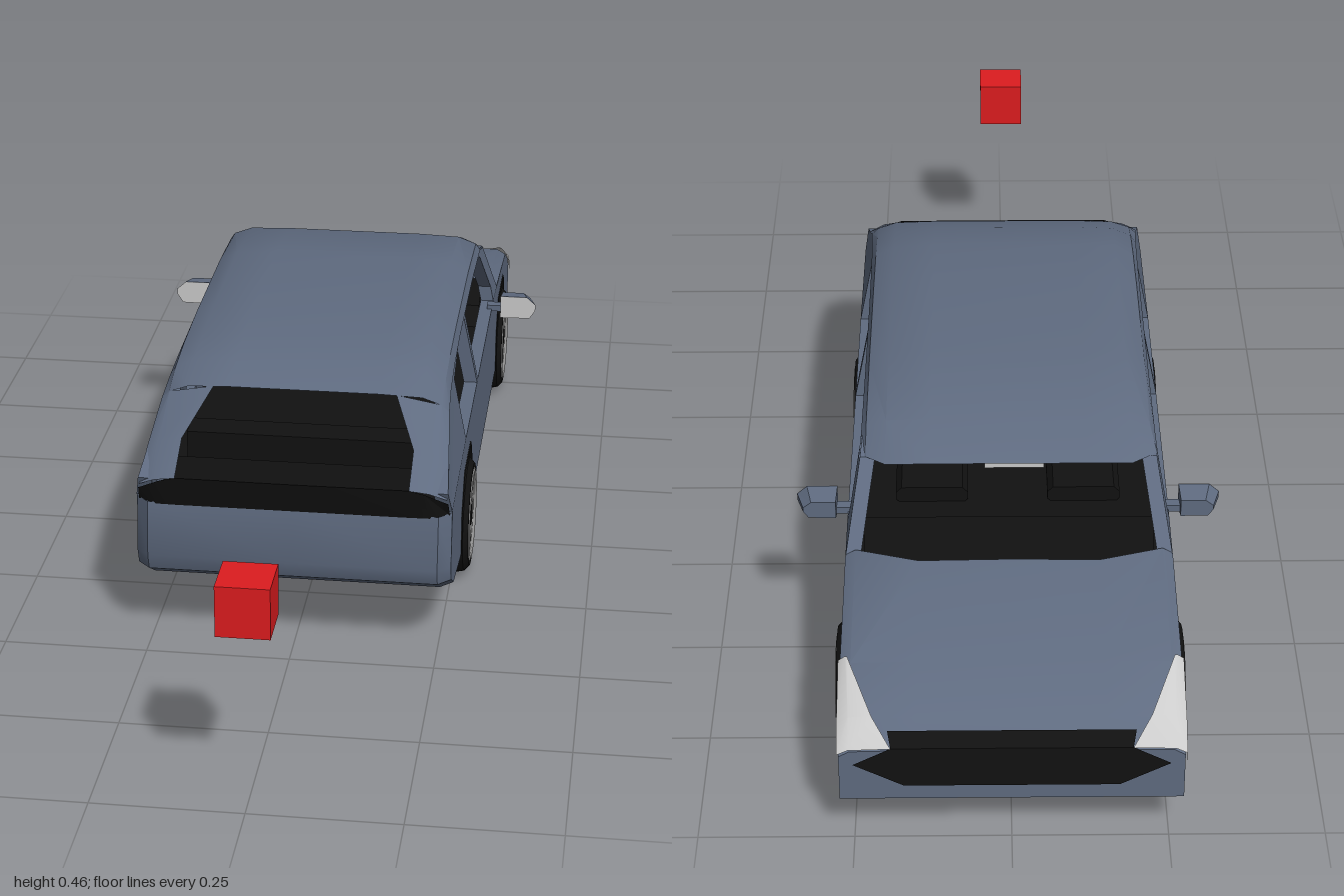
import * as THREE from 'three';
import { toCreasedNormals } from 'three/addons/utils/BufferGeometryUtils.js';

const mat = (color) => new THREE.MeshStandardMaterial({ color, side: THREE.DoubleSide });
const paint = mat(0x5f6b80), black = mat(0x111111), grey = mat(0xcccccc), rimGrey = mat(0x8c8c8c), red = mat(0xdd1c1f);
const AXLES = [-0.74, 0.11];
const ARCH = [[-0.113, 0.08], [-0.113, 0.165], [-0.07, 0.225], [0.07, 0.225], [0.113, 0.165], [0.113, 0.08]];

const shapeOf = (pts) => new THREE.Shape(pts.map(([a, b]) => new THREE.Vector2(a, b)));

// Surface through rows of [x, y, z] points
function sheet(rows) {
  const n = rows[0].length, index = [];
  for (let r = 0; r < rows.length - 1; r++) {
    for (let c = 0; c < n - 1; c++) {
      const a = r * n + c, b = a + n;
      index.push(a, b, a + 1, b, b + 1, a + 1);
    }
  }
  const geo = new THREE.BufferGeometry();
  geo.setAttribute('position', new THREE.Float32BufferAttribute(rows.flat(2), 3));
  geo.setIndex(index);
  return toCreasedNormals(geo, 0.5);
}

// Rows run from the outer edge to x = 0 and are reflected to the other side
const fullSheet = (rows) => sheet(rows.map((row) =>
  [...row, ...row.slice(0, -1).reverse().map(([x, y, z]) => [-x, y, z])]));

// Side plate drawn in (z, y); its outer face lies at x and it leans in above the belt
function sidePlate(shape, x, depth, lean = 0) {
  const geo = new THREE.ExtrudeGeometry(shape, { depth, bevelEnabled: false });
  geo.rotateY(-Math.PI / 2).translate(x, 0, 0);
  const p = geo.attributes.position;
  for (let i = 0; i < p.count; i++) p.setX(i, p.getX(i) - Math.max(0, p.getY(i) - 0.28) * lean);
  geo.computeVertexNormals();
  return geo;
}

export function createModel() {
  const model = new THREE.Group();
  const add = (name, geo, material, parent = model) => {
    const m = new THREE.Mesh(geo, material);
    m.name = name;
    parent.add(m);
    return m;
  };
  const box = (name, w, h, d, x, y, z, material, parent) =>
    add(name, new THREE.BoxGeometry(w, h, d).translate(x, y, z), material, parent);
  const pair = (name, geo, material) => {
    add(name + 'Left', geo, material);
    add(name + 'Right', geo.clone().scale(-1, 1, 1), material);
  };

  // Lower sides with wheel arches
  const arches = AXLES.flatMap((c) => ARCH.map(([z, y]) => [c + z, y]));
  const lower = shapeOf([[-1, 0.08], ...arches, [0.225, 0.08], [0.38, 0.108], [0.433, 0.14], [0.444, 0.17],
    [0.433, 0.272], [-0.61, 0.272], [-0.877, 0.244], [-0.965, 0.201], [-1, 0.164]]);
  pair('lowerSide', sidePlate(lower, 0.272, 0.02), paint);

  // Upper sides with window openings
  const upper = shapeOf([[-0.615, 0.272], [-0.505, 0.4], [-0.45, 0.414], [-0.26, 0.42], [0, 0.42], [0.22, 0.407],
    [0.29, 0.39], [0.39, 0.34], [0.455, 0.312], [0.438, 0.272]]);
  upper.holes.push(
    shapeOf([[0.155, 0.28], [0.155, 0.395], [0.03, 0.412], [-0.09, 0.413], [-0.1, 0.28]]),
    shapeOf([[-0.118, 0.28], [-0.112, 0.412], [-0.4, 0.41], [-0.44, 0.402], [-0.515, 0.31], [-0.515, 0.28]]));
  pair('windowFrame', sidePlate(upper, 0.272, 0.025, 0.2), paint);

  // Roof: z, crown height, edge height
  const roof = [[-0.535, 0.405, 0.397], [-0.45, 0.44, 0.412], [-0.26, 0.461, 0.418], [0, 0.459, 0.418],
    [0.13, 0.453, 0.413], [0.22, 0.441, 0.405], [0.29, 0.417, 0.39]];
  add('roof', fullSheet(roof.map(([z, top, edge], i) => {
    const h = (t) => edge + (top - edge) * t;
    const ze = i === 0 ? -0.505 : z;
    return [[0.274 - (edge - 0.28) * 0.2, edge, ze], [0.239, h(0.45), ze], [0.205, h(0.9), z], [0.13, top, z], [0, top, z]];
  })), paint);

  // Rear pillars beside the back window
  pair('rearPillar', sheet([
    [[0.252, 0.39, 0.29], [0.238, 0.403, 0.29], [0.16, 0.417, 0.29]],
    [[0.261, 0.34, 0.39], [0.242, 0.351, 0.39], [0.2, 0.36, 0.39]],
    [[0.264, 0.3, 0.454], [0.235, 0.315, 0.466], [0.2, 0.32, 0.468]]]), paint);

  // Hood and nose
  const hood = [[-0.645, 0.287], [-0.877, 0.256], [-0.965, 0.213], [-1, 0.176]].map(([z, y], i) => {
    const back = i === 0 ? 0.035 : 0;
    return [[0.272, y - 0.012, z + back], [0.255, y - 0.002, z + back], [0.15, y, z], [0, y + 0.002, z]];
  });
  add('hood', fullSheet([...hood, [[0.272, 0.08, -1], [0.255, 0.08, -1], [0.15, 0.08, -1], [0, 0.08, -1]]]), paint);
  add('grille', fullSheet([[0.195, 0.203, -0.985], [0.19, 0.181, -1.002], [0.25, 0.15, -1.003], [0.17, 0.108, -1.003]]
    .map(([x, y, z]) => [[x, y, z], [0, y, z]])), black);
  pair('headlight', sheet([
    [[0.275, 0.25, -0.86], [0.275, 0.193, -0.965], [0.275, 0.155, -1.003]],
    [[0.275, 0.25, -0.865], [0.275, 0.205, -0.966], [0.275, 0.17, -1.003]],
    [[0.264, 0.26, -0.868], [0.257, 0.216, -0.967], [0.257, 0.179, -1.003]],
    [[0.26, 0.261, -0.87], [0.22, 0.218, -0.967], [0.19, 0.181, -1.003]]]), grey);

  // Tail, bumper and dark light band
  add('tail', fullSheet([[0.455, 0.268], [0.466, 0.17], [0.455, 0.14], [0.402, 0.108], [0.22, 0.08]]
    .map(([z, y]) => [[0.272, y, z - 0.022], [0.25, y, z], [0, y, z]])), paint);
  add('tailBand', fullSheet([
    [[0.266, 0.292, 0.452], [0.225, 0.314, 0.466], [0.2, 0.321, 0.469], [0, 0.321, 0.47]],
    [[0.268, 0.265, 0.438], [0.235, 0.265, 0.456], [0.2, 0.265, 0.457], [0, 0.265, 0.457]]]), black);
  add('rearShelf', fullSheet([
    [[0.225, 0.312, 0.36], [0, 0.312, 0.36]],
    [[0.2, 0.32, 0.468], [0, 0.32, 0.469]]]), black);

  // Underside, notched at the wheels
  const notch = AXLES.flatMap((c) => [[0.272, c - 0.113], [0.17, c - 0.113], [0.17, c + 0.113], [0.272, c + 0.113]]);
  pair('underside', new THREE.ShapeGeometry(shapeOf([[0, -1], [0.272, -1], ...notch, [0.272, 0.225], [0, 0.225]]))
    .rotateX(Math.PI / 2).translate(0, 0.08, 0), paint);

  // Wheel arch liners
  AXLES.forEach((c, i) => {
    const inner = ARCH.map(([z, y]) => [c + z * 0.985, y * 0.99]);
    const name = i ? 'rearArch' : 'frontArch';
    pair(name + 'Liner', sheet([inner.map(([z, y]) => [0.274, y, z]), inner.map(([z, y]) => [0.17, y, z])]), black);
    pair(name + 'Wall', new THREE.ShapeGeometry(shapeOf(inner)).rotateY(-Math.PI / 2).translate(0.17, 0, 0), black);
  });

  // Wheels, built along y and turned to face outward
  const lathe = (pts, n = 32) => new THREE.LatheGeometry(pts.map(([r, y]) => new THREE.Vector2(r, y)), n);
  const tyre = toCreasedNormals(lathe([[0, -0.046], [0.07, -0.049], [0.094, -0.049], [0.104, -0.04], [0.107, -0.025], [0.107, 0.025],
    [0.104, 0.04], [0.094, 0.049], [0.084, 0.049], [0.08, 0.03], [0, 0.03]]), 0.6);
  const rim = lathe([[0.086, 0.049], [0.08, 0.051], [0.074, 0.049], [0.072, 0.03]]);
  const spoke = new THREE.ExtrudeGeometry(shapeOf([[0.018, -0.005], [0.076, -0.02], [0.076, 0.02], [0.018, 0.005]]),
    { depth: 0.012, bevelEnabled: false }).rotateX(-Math.PI / 2).translate(0, 0.034, 0);
  const hub = new THREE.CylinderGeometry(0.02, 0.024, 0.02, 5).translate(0, 0.038, 0);
  for (const z of AXLES) {
    for (const s of [1, -1]) {
      const wheel = new THREE.Group();
      wheel.name = (z < 0 ? 'front' : 'rear') + 'Wheel' + (s > 0 ? 'Left' : 'Right');
      add('tyre', tyre, black, wheel);
      add('rim', rim, rimGrey, wheel);
      add('hub', hub, black, wheel);
      for (let i = 0; i < 10; i++) add('spoke', spoke, rimGrey, wheel).rotation.y = (i * Math.PI) / 5;
      wheel.rotation.z = (-s * Math.PI) / 2;
      wheel.position.set(s * 0.234, 0.109, z);
      model.add(wheel);
    }
  }

  // Door mirrors
  const mirrorShape = shapeOf([[0.29, 0.267], [0.348, 0.268], [0.359, 0.285], [0.359, 0.297], [0.342, 0.312], [0.29, 0.312]]);
  const shell = new THREE.ExtrudeGeometry(mirrorShape, { depth: 0.04, bevelEnabled: false }).translate(0, 0, -0.5);
  const sp = shell.attributes.position;
  for (let i = 0; i < sp.count; i++) { // front of the shell tapers and sweeps forward
    if (sp.getZ(i) < -0.48) sp.setXYZ(i, 0.3 + (sp.getX(i) - 0.3) * 0.8, 0.29 + (sp.getY(i) - 0.29) * 0.7, sp.getZ(i));
  }
  shell.computeVertexNormals();
  pair('mirrorShell', shell, paint);
  pair('mirrorGlass', new THREE.ShapeGeometry(mirrorShape).translate(0, 0, -0.459), grey);
  pair('mirrorArm', new THREE.BoxGeometry(0.035, 0.012, 0.02).translate(0.28, 0.282, -0.48), paint);

  // Cabin
  box('cabinFloor', 0.5, 0.01, 1.04, 0, 0.234, -0.09, black);
  add('dashboard', fullSheet([
    [[0.24, 0.274, -0.65], [0, 0.282, -0.65]],
    [[0.245, 0.274, -0.5], [0, 0.276, -0.5]],
    [[0.245, 0.235, -0.47], [0, 0.235, -0.47]]]), black);
  box('rearBench', 0.44, 0.07, 0.06, 0, 0.265, 0.2, black);
  box('cabinMirror', 0.1, 0.027, 0.012, -0.01, 0.378, -0.48, grey);
  for (const s of [1, -1]) {
    const seat = new THREE.Group();
    seat.name = s > 0 ? 'seatLeft' : 'seatRight';
    const pad = (name, w, h, d, y, z) => {
      const g = new THREE.ExtrudeGeometry(shapeOf([[-w / 2, -h / 2 + 0.012], [-w / 2 + 0.012, -h / 2], [w / 2 - 0.012, -h / 2],
        [w / 2, -h / 2 + 0.012], [w / 2, h / 2 - 0.01], [w / 2 - 0.01, h / 2], [-w / 2 + 0.01, h / 2], [-w / 2, h / 2 - 0.01]]),
      { depth: d, bevelEnabled: false });
      add(name, g.translate(0, y, z - d / 2), black, seat);
    };
    pad('headrest', 0.114, 0.064, 0.05, 0.376, -0.238);
    pad('seatBack', 0.125, 0.09, 0.064, 0.278, -0.238);
    pad('seatCushion', 0.125, 0.035, 0.16, 0.25, -0.32);
    for (const x of [-0.017, 0.017]) box('headrestPost', 0.004, 0.04, 0.004, x, 0.332, -0.238, black, seat);
    seat.position.x = s * 0.131;
    model.add(seat);
  }

  // Separate marker cube behind the car
  box('markerCube', 0.086, 0.086, 0.086, 0, 0.356, 0.957, red);
  return model;
}
